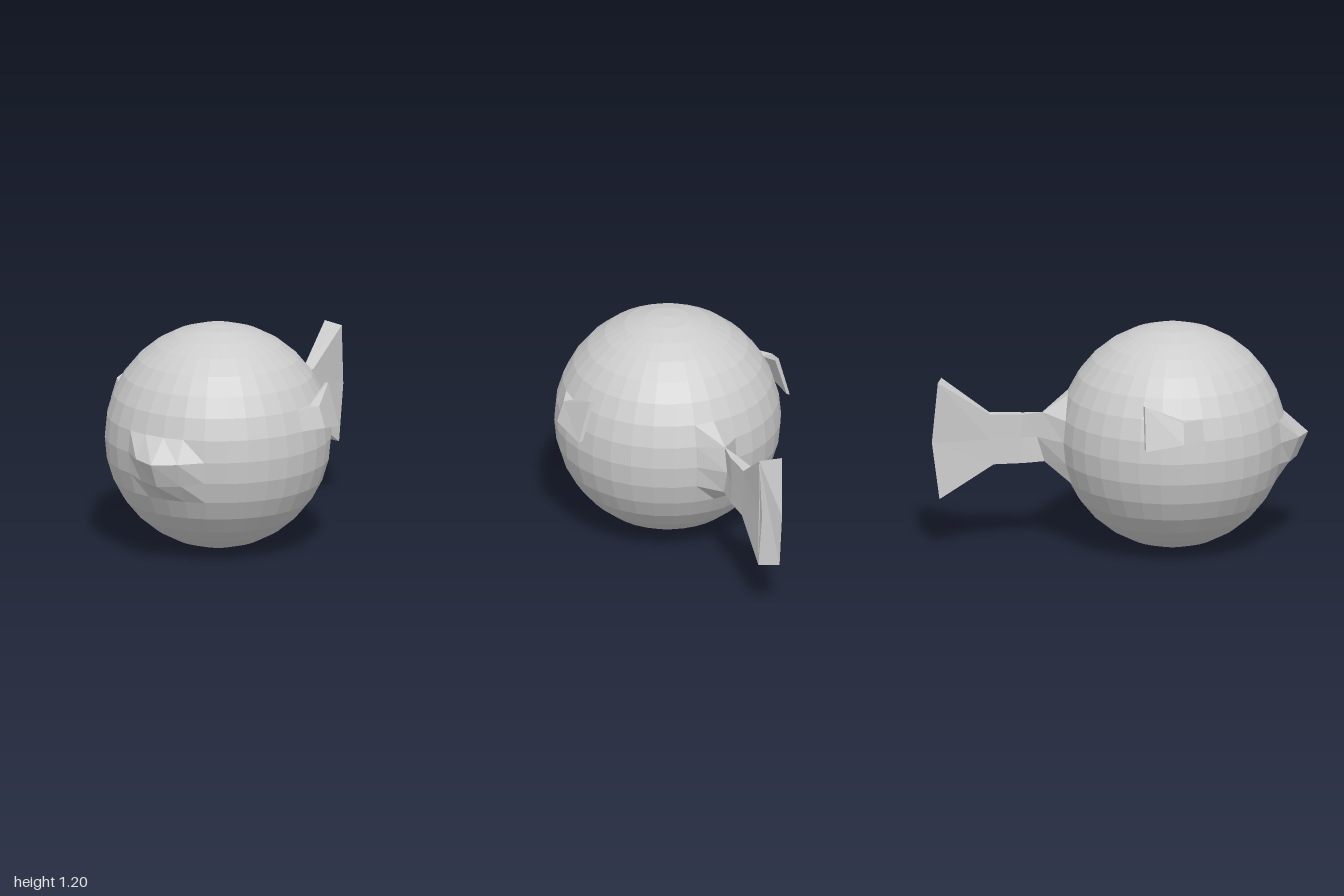
import * as THREE from 'three';

// Closed skin through rings of points that run from front to back.
function loft(rings) {
  const n = rings[0].length, pos = [];
  const tri = (a, b, c) => pos.push(...a, ...b, ...c);
  for (let i = 0; i < rings.length - 1; i++) {
    for (let j = 0; j < n; j++) {
      const k = (j + 1) % n;
      const [a, b, c, d] = [rings[i][j], rings[i][k], rings[i + 1][k], rings[i + 1][j]];
      tri(a, b, c);
      tri(a, c, d);
    }
  }
  const first = rings[0], last = rings[rings.length - 1];
  for (let j = 1; j < n - 1; j++) {
    tri(first[0], first[j + 1], first[j]);
    tri(last[0], last[j], last[j + 1]);
  }
  const g = new THREE.BufferGeometry();
  g.setAttribute('position', new THREE.Float32BufferAttribute(pos, 3));
  g.computeVertexNormals();
  return g;
}

// Round body with a few grid points pulled out for the mouth and the tail root.
function bodyGeometry() {
  const R = 0.6, step = Math.PI / 16;
  const g = new THREE.SphereGeometry(R, 32, 16);
  const p = g.attributes.position;
  // key: columns away from the front, rows above the middle; value: x, y, z
  const pulled = {
    '0,0': [0, 0.595, 1], '1,0': [0.125, 0.6, 0.94],
    '0,-1': [0, 0.465, 0.94], '1,-1': [0.12, 0.47, 0.89],
    '16,1': [0, 0.74, -0.41], '16,0': [0, 0.605, -0.44], '16,-1': [0, 0.47, -0.4],
  };
  for (let i = 0; i < p.count; i++) {
    const x = p.getX(i), y = p.getY(i), z = p.getZ(i);
    const col = Math.round(Math.atan2(Math.abs(x), z) / step);
    const row = Math.round(Math.asin(THREE.MathUtils.clamp(y / R, -1, 1)) / step);
    const t = pulled[`${col},${row + 0}`];
    if (t) p.setXYZ(i, Math.sign(x) * t[0], t[1], t[2]);
    else p.setXYZ(i, x, y + R, z + 0.28);
  }
  g.computeVertexNormals();
  return g;
}

export function createModel() {
  const model = new THREE.Group();
  const grey = new THREE.MeshStandardMaterial({ color: 0xcccccc, flatShading: true });
  grey.name = 'grey';
  const add = (name, geometry) => {
    const mesh = new THREE.Mesh(geometry, grey);
    mesh.name = name;
    model.add(mesh);
  };

  add('body', bodyGeometry());

  // Tail: thin stalk that flares into a slightly twisted fin
  const stalk = (w, top, mid, bottom) => [
    [w, top[0], top[1]], [w, mid[0], mid[1]], [w, bottom[0], bottom[1]],
    [-w, bottom[0], bottom[1]], [-w, mid[0], mid[1]], [-w, top[0], top[1]],
  ];
  add('tailFin', loft([
    stalk(0.002, [0.74, -0.41], [0.605, -0.44], [0.47, -0.4]),
    stalk(0.02, [0.735, -0.51], [0.605, -0.53], [0.468, -0.51]),
    stalk(0.03, [0.74, -0.69], [0.605, -0.69], [0.468, -0.67]),
    [[0.06, 0.925, -0.94], [0.055, 0.6, -0.965], [0.055, 0.295, -0.92],
      [-0.05, 0.29, -0.96], [-0.045, 0.6, -1], [-0.06, 0.93, -0.97]],
  ]));

  // Side fins: wedge out of the body, then flare backwards
  const fin = [
    [[0.544, 0.83, 0.388], [0.577, 0.717, 0.395], [0.577, 0.717, 0.395], [0.544, 0.83, 0.388]],
    [[0.613, 0.832, 0.28], [0.65, 0.72, 0.28], [0.588, 0.717, 0.28], [0.554, 0.83, 0.28]],
    [[0.555, 0.91, 0.08], [0.62, 0.68, 0.08], [0.6, 0.69, 0.075], [0.532, 0.905, 0.075]],
  ];
  add('leftFin', loft(fin));
  add('rightFin', loft(fin.map(r => r.map(([x, y, z]) => [-x, y, z]).reverse())));

  return model;
}
